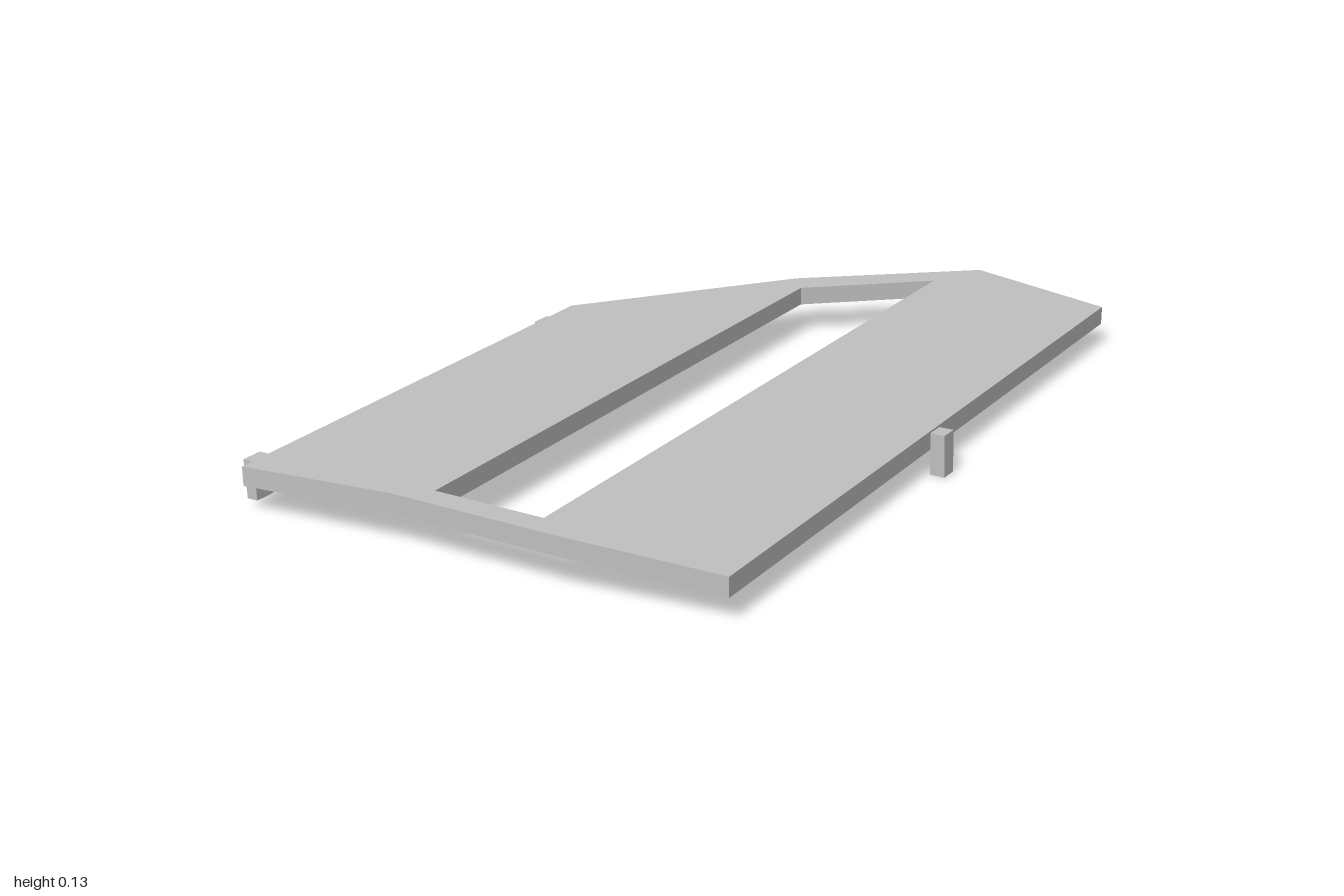
import * as THREE from 'three';

const THICKNESS = 0.045;

// Corner points [x, top height, z]: capitals on the outer rim, small letters round the slot
const P = {
  A: [-0.58, 0.113, -0.21], B: [-0.2, 0.123, -0.68], C: [0.17, 0.124, -1], D: [0.535, 0.1, -0.965],
  E: [0.585, 0.101, 0.865], F: [0.23, 0.127, 0.94], G: [-0.18, 0.124, 0.955], H: [-0.55, 0.112, 0.998],
  b: [-0.15, 0.123, -0.62], c: [0.11, 0.124, -0.855], f: [0.16, 0.126, 0.885], g: [-0.11, 0.124, 0.895],
};

// Folded plate: three facets, the middle one cut by a slot
function panelGeometry() {
  const pos = [];
  const top = (k) => P[k];
  const low = (k) => [P[k][0], P[k][1] - THICKNESS, P[k][2]];
  const quad = (a, b, c, d) => pos.push(...a, ...b, ...c, ...a, ...c, ...d);

  for (const face of ['HGBA', 'GgbB', 'BbcC', 'FCcf', 'GFfg', 'FEDC']) {
    const k = [...face];
    quad(...k.map(top));
    quad(...k.reverse().map(low));
  }
  // Rim and slot walls
  for (const loop of ['HGFEDCBA', 'gbcf']) {
    [...loop].forEach((p, i) => {
      const q = loop[(i + 1) % loop.length];
      quad(low(p), low(q), top(q), top(p));
    });
  }
  const geo = new THREE.BufferGeometry();
  geo.setAttribute('position', new THREE.Float32BufferAttribute(pos, 3));
  geo.computeVertexNormals();
  return geo;
}

export function createModel() {
  const group = new THREE.Group();
  const grey = new THREE.MeshStandardMaterial({ color: 0xc0c0c0 });
  grey.name = 'light grey';

  const panel = new THREE.Mesh(panelGeometry(), grey);
  panel.name = 'foldedPanel';
  group.add(panel);

  // Small mounting tabs on the long edges: name, centre, size, lean
  const tabs = [
    ['leftTab', [0.584, 0.05, -0.005], [0.035, 0.099, 0.042], 0.03],
    ['rightRearTab', [-0.592, 0.059, -0.118], [0.028, 0.082, 0.05], 0.04],
    ['rightFrontTab', [-0.564, 0.065, 0.938], [0.028, 0.09, 0.05], 0.04],
  ];
  for (const [name, centre, size, lean] of tabs) {
    const tab = new THREE.Mesh(new THREE.BoxGeometry(...size), grey);
    tab.name = name;
    tab.position.set(...centre);
    tab.rotation.z = lean;
    group.add(tab);
  }
  return group;
}
